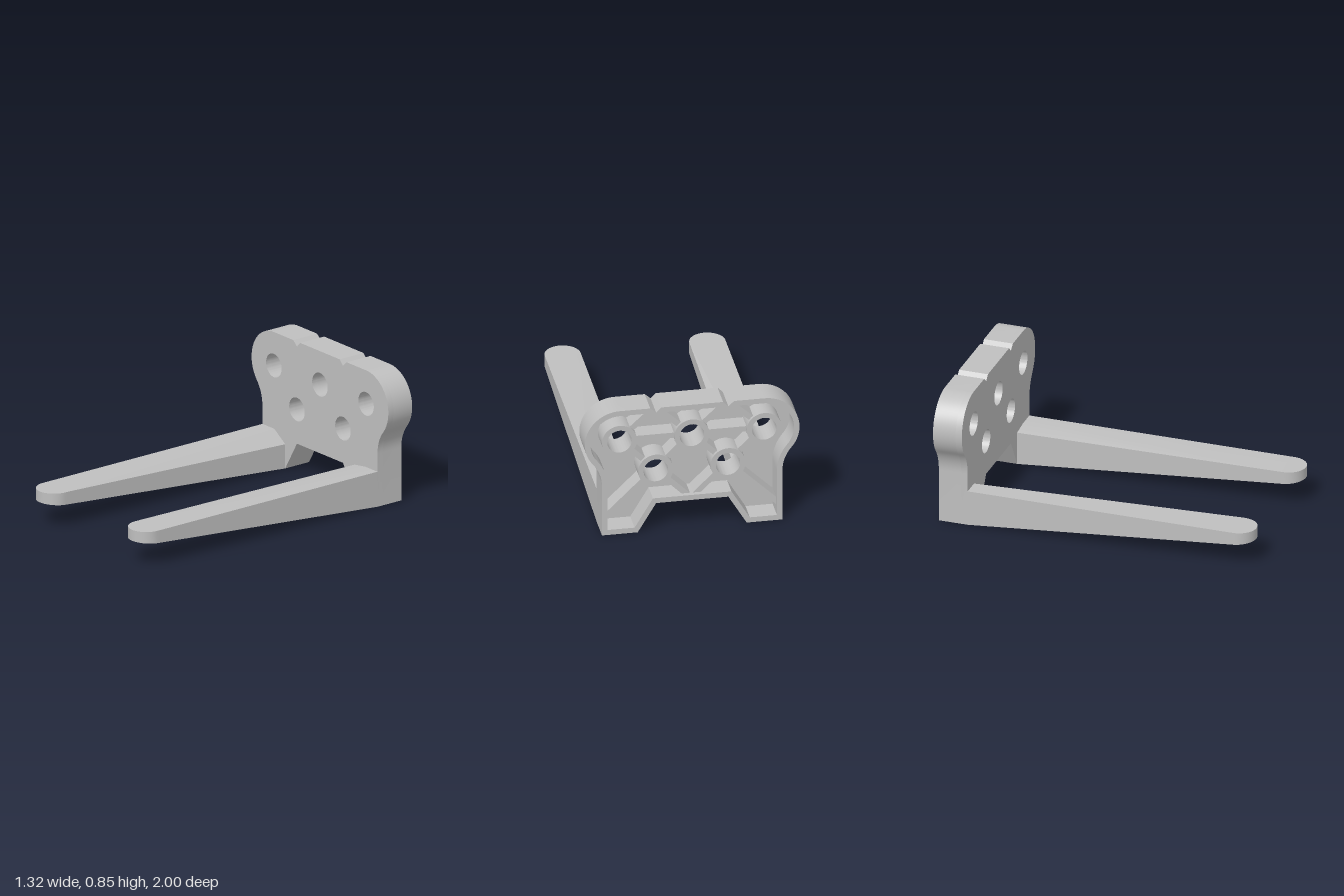
import * as THREE from 'three';
import { toCreasedNormals } from 'three/addons/utils/BufferGeometryUtils.js';

const FRONT = -0.815, BACK = -1, PANEL = 0.04, WALL = 0.034, HOLE = 0.075, BOSS = 0.108;
const HOLES = [[-0.445, 0.63], [0, 0.63], [0.445, 0.63], [-0.222, 0.41], [0.222, 0.41]];

// Outline of the mounting plate, counter-clockwise
function plateOutline() {
  const half = [[0.222, 0.19], [0.335, 0], [0.555, 0]];
  const arc = (cx, cy, r, a0, a1, n) => {
    for (let i = 0; i <= n; i++) {
      const a = a0 + (a1 - a0) * i / n;
      half.push([cx + r * Math.cos(a), cy + r * Math.sin(a)]);
    }
  };
  const t = 0.695;
  arc(0.793, 0.34, 0.238, Math.PI, Math.PI - t, 8);
  half.pop();
  arc(0.445, 0.63, 0.215, -t, Math.PI / 2, 24);
  half.push([0.258, 0.845], [0.222, 0.813], [0.19, 0.845]);
  const mirrored = half.map(([x, y]) => [-x, y]).reverse();
  return [...half, ...mirrored].map(([x, y]) => new THREE.Vector2(x, y));
}

// Inset a counter-clockwise outline by a constant wall thickness
function inset(pts, d) {
  const n = pts.length;
  const normal = (a, b) => new THREE.Vector2(a.y - b.y, b.x - a.x).normalize();
  return pts.map((p, i) => {
    const n1 = normal(pts[(i + n - 1) % n], p), n2 = normal(p, pts[(i + 1) % n]);
    return n1.clone().add(n2).multiplyScalar(d / (1 + n1.dot(n2))).add(p);
  });
}

function extrude(shape, z0, z1) {
  const g = new THREE.ExtrudeGeometry(shape, { depth: z1 - z0, bevelEnabled: false, curveSegments: 32 });
  return toCreasedNormals(g.translate(0, 0, z0), 0.5);
}

function circleHole(x, y, r) {
  return new THREE.Path().absarc(x, y, r, 0, Math.PI * 2, true);
}

// Tapered arm with a rounded tip and a slot underneath, from cross-sections along z
function armGeometry(side, topDrop) {
  const R = 0.11, TOP = 0.225, ROOF = 0.165, TIP = 1 - R, S0 = -0.77, S1 = 0.87;
  const stations = [[-0.83, 0], [FRONT, 0], [S0, 0], [S0, 1], [0, 1], [S1, 1], [S1, 0]];
  for (let i = 0; i <= 12; i++) stations.push([TIP + R * Math.sin(i / 12 * Math.PI / 2), 0]);
  const sections = stations.map(([z, open]) => {
    const w = Math.sqrt(Math.max(0, R * R - Math.max(0, z - TIP) ** 2));
    const sw = Math.min(0.042, w);
    const f = THREE.MathUtils.clamp((z - FRONT) / (0.85 - FRONT), 0, 1);
    const ridge = Math.max(-w, -0.005 - 0.105 * f);
    const bottom = 0.155 * Math.max(0, (z - FRONT) / (1 - FRONT));
    const slotRidge = THREE.MathUtils.clamp(ridge, -sw, sw);
    const slotDrop = 0.07 * (1 - f) * Math.max(0, ridge + sw) / (ridge + R + 1e-4);
    const roof = open ? ROOF : bottom;
    const low = open ? Math.max(bottom, ROOF - slotDrop) : bottom;
    return [
      [w, bottom], [w, TOP], [ridge, TOP], [-w, TOP - topDrop * (1 - f)], [-w, bottom],
      [-sw, bottom], [-sw, low], [slotRidge, roof], [sw, roof], [sw, bottom],
    ].map(([x, y]) => [side * (0.445 + x), y, z]);
  });
  const pos = [];
  for (let k = 0; k + 1 < sections.length; k++) {
    const n = sections[k].length;
    for (let i = 0; i < n; i++) {
      const j = (i + 1) % n;
      const a = sections[k][i], b = sections[k][j], c = sections[k + 1][j], d = sections[k + 1][i];
      const tris = side > 0 ? [a, b, c, a, c, d] : [a, c, b, a, d, c];
      tris.forEach((p) => pos.push(...p));
    }
  }
  const g = new THREE.BufferGeometry();
  g.setAttribute('position', new THREE.Float32BufferAttribute(pos, 3));
  g.computeVertexNormals();
  return toCreasedNormals(g, 0.4);
}

export function createModel() {
  const model = new THREE.Group();
  model.name = 'pegHook';
  const grey = new THREE.MeshStandardMaterial({ color: 0xbfbfbf });
  grey.name = 'grey';
  const add = (geometry, name, parent = model) => {
    const m = new THREE.Mesh(geometry, grey);
    m.name = name;
    parent.add(m);
    return m;
  };

  // Front panel with five through holes
  const outline = plateOutline();
  const panel = new THREE.Shape(outline);
  HOLES.forEach(([x, y]) => panel.holes.push(circleHole(x, y, HOLE)));
  add(extrude(panel, FRONT - PANEL, FRONT), 'frontPanel');

  // Rim wall around the open back
  const rim = new THREE.Shape(outline);
  rim.holes.push(new THREE.Path(inset(outline, WALL).reverse()));
  add(extrude(rim, BACK, FRONT - PANEL), 'rim');

  // Bosses around the holes
  HOLES.forEach(([x, y]) => {
    const ring = new THREE.Shape().absarc(x, y, BOSS, 0, Math.PI * 2, false);
    ring.holes.push(circleHole(x, y, HOLE));
    add(extrude(ring, BACK + 0.01, FRONT - PANEL), 'boss');
  });

  // Stiffening ribs: trim0 and trim1 keep the holes clear
  const ribs = new THREE.Group();
  ribs.name = 'ribs';
  model.add(ribs);
  const rib = (a, b, trim0, trim1) => {
    const dx = b[0] - a[0], dy = b[1] - a[1], len = Math.hypot(dx, dy);
    const depth = 0.115, mid = (trim0 + len - trim1) / 2 / len;
    const m = add(new THREE.BoxGeometry(len - trim0 - trim1, 0.036, depth), 'rib', ribs);
    m.position.set(a[0] + dx * mid, a[1] + dy * mid, FRONT - PANEL - depth / 2);
    m.rotation.z = Math.atan2(dy, dx);
  };
  const T = 0.09;
  for (const s of [-1, 1]) {
    const top = [s * 0.445, 0.63], low = [s * 0.222, 0.41], mid = [0, 0.63];
    rib(mid, top, T, T);
    rib(low, top, T, T);
    rib(low, mid, T, T);
    rib(low, [s * 0.01, 0.2], T, 0);
    rib(low, [s * 0.54, 0.1], T, 0);
    rib(mid, [s * 0.205, 0.82], T, 0);
    rib(top, [s * 0.24, 0.82], T, 0);
  }

  // Pair of forward arms
  add(armGeometry(1, 0.015), 'leftArm');
  add(armGeometry(-1, 0.07), 'rightArm');
  return model;
}
